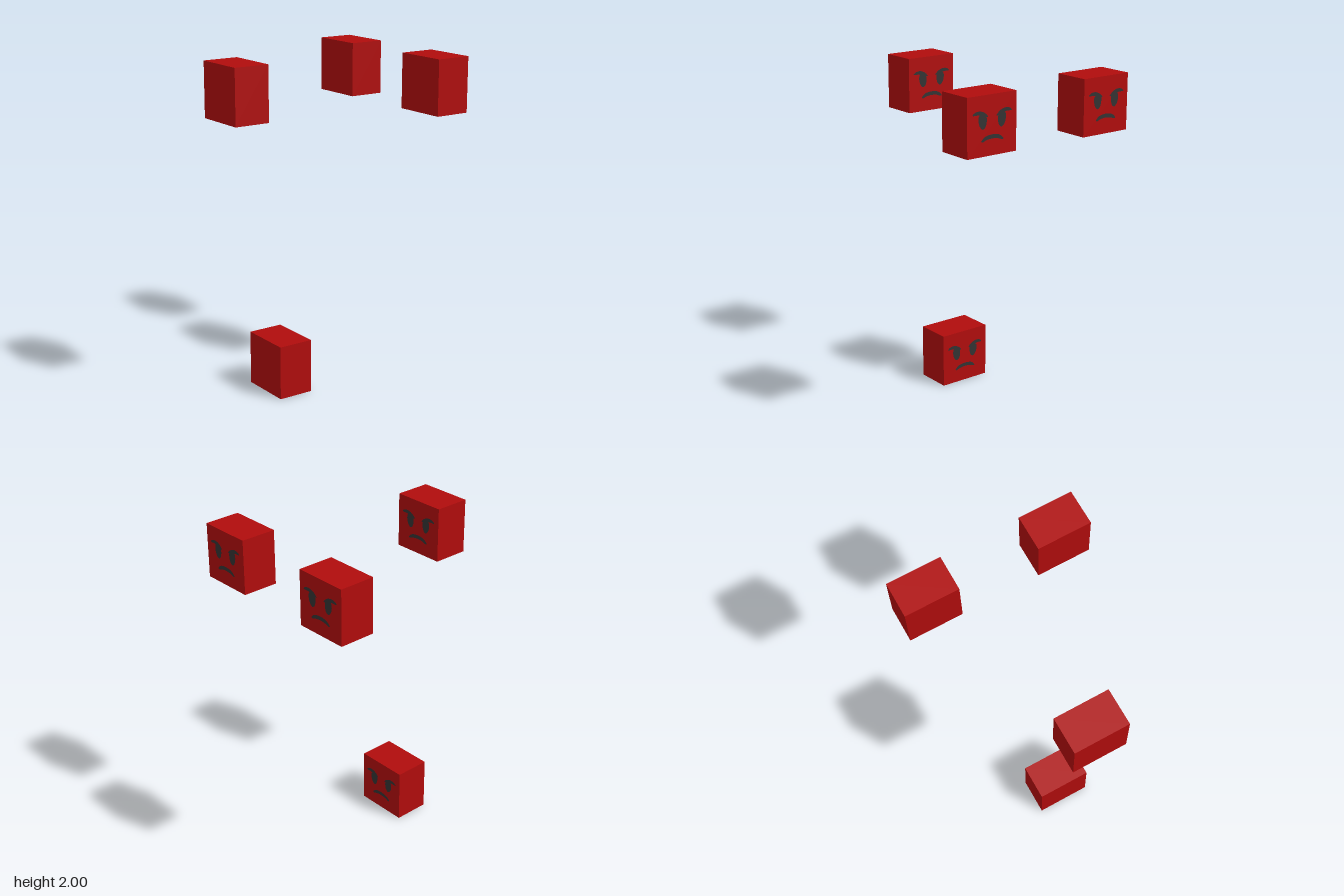
import * as THREE from 'three';

const W = 0.217, H = 0.326, D = 0.326; // block size
const U = 0.0053; // drawing unit for the face

// Eye joined to a slanted, hooked brow; s = -1 or 1 for the side
function eyeShapes(s) {
  const p = (x, y) => new THREE.Vector2(s * x * U, y * U);
  const eye = new THREE.Shape(new THREE.SplineCurve([
    p(7, 8), p(10, 11), p(16, 11), p(17.2, 6), p(15.5, 0), p(12, -3.2), p(8.5, -1), p(7, 4), p(7, 8),
  ]).getPoints(24));
  const brow = new THREE.Shape(new THREE.SplineCurve([
    p(5, 9), p(9, 13), p(15, 15.4), p(21, 15), p(24.5, 12.6), p(23, 11.8), p(18, 11.8), p(13, 10.5), p(8, 8.8), p(5, 9),
  ]).getPoints(24));
  return [eye, brow];
}

// Downturned mouth with rounded ends
function mouthShape() {
  const p = (x, y) => new THREE.Vector2(x * U, y * U);
  return new THREE.Shape(new THREE.SplineCurve([
    p(-14, -15), p(-9, -10.8), p(0, -9.4), p(9, -10.8), p(14, -15), p(12, -16),
    p(7, -14.3), p(0, -13.6), p(-7, -14.3), p(-12, -16), p(-14, -15),
  ]).getPoints(40));
}

export function createModel() {
  const red = new THREE.MeshStandardMaterial({ color: 0xb00c0c });
  red.name = 'red';
  const grey = new THREE.MeshStandardMaterial({ color: 0x333333 });
  grey.name = 'dark grey';

  const blockGeo = new THREE.BoxGeometry(W, H, D);
  const features = {
    leftEye: new THREE.ShapeGeometry(eyeShapes(-1)),
    rightEye: new THREE.ShapeGeometry(eyeShapes(1)),
    mouth: new THREE.ShapeGeometry(mouthShape()),
  };

  const model = new THREE.Group();
  model.name = 'angryBlocks';

  // Three raised blocks and one on the ground, all facing +x
  const centres = [
    [-0.548, 2 - H / 2, 0],
    [0.546, 2 - H / 2, -0.403],
    [0.546, 2 - H / 2, 0.403],
    [-0.253, H / 2, -0.021],
  ];
  centres.forEach((c, i) => {
    const block = new THREE.Group();
    block.name = `block${i + 1}`;
    block.position.set(...c);
    const body = new THREE.Mesh(blockGeo, red);
    body.name = 'body';
    block.add(body);
    for (const [name, geo] of Object.entries(features)) {
      const part = new THREE.Mesh(geo, grey);
      part.name = name;
      part.rotation.y = Math.PI / 2;
      part.position.x = W / 2 + 0.002;
      block.add(part);
    }
    model.add(block);
  });
  return model;
}
